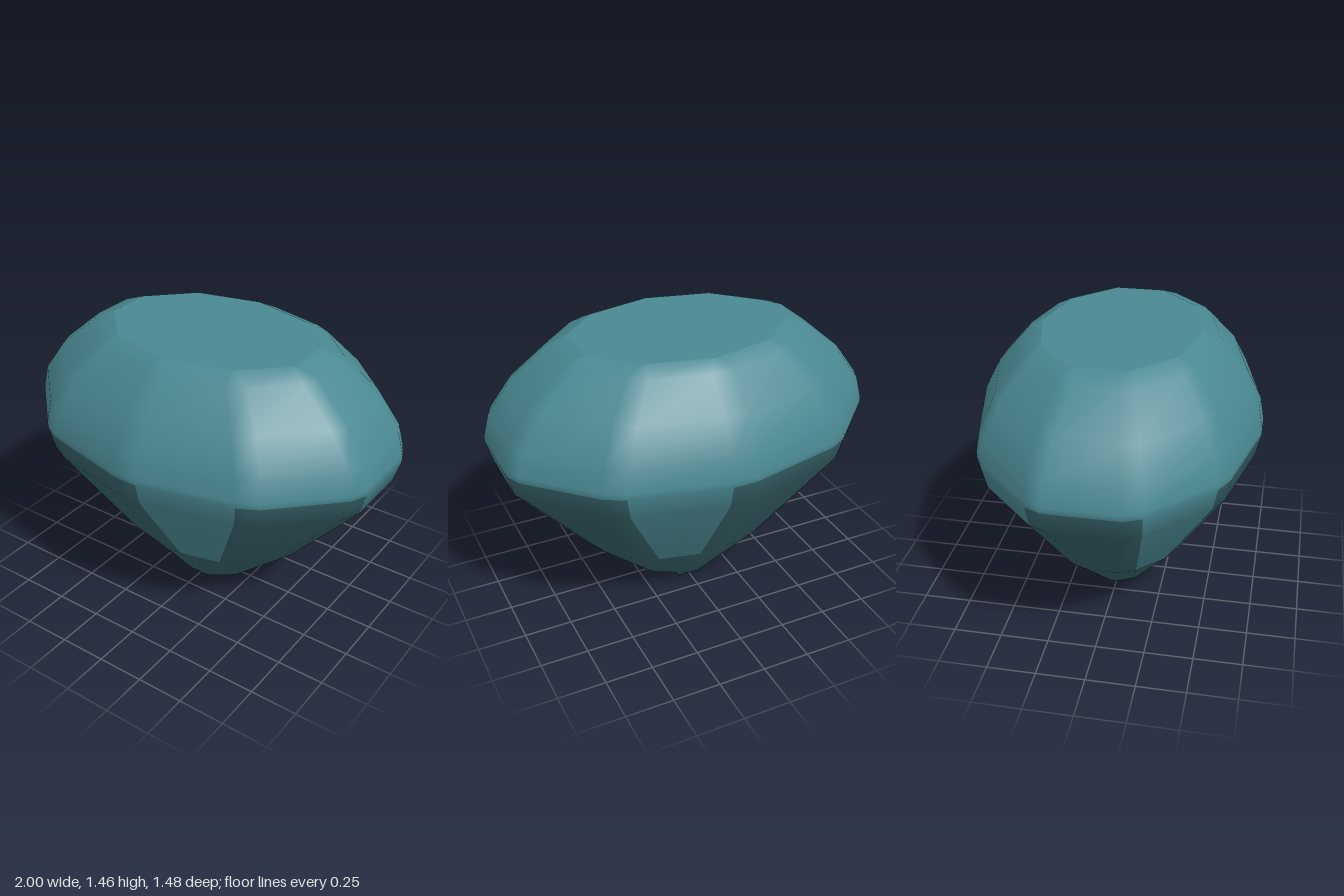
import * as THREE from 'three';

const SIDES = 10, N = SIDES * 2, DEPTH = 0.717;

// Decagon outline with clipped corners; a is the half width across x
function outline(y, a, bevel) {
  const r = a / Math.cos(Math.PI / SIDES);
  const t = bevel / a; // share of each side given to the corner bevel
  const corner = (k) => {
    const ang = ((k - 0.5) * 2 * Math.PI) / SIDES;
    return new THREE.Vector3(r * Math.cos(ang), y, r * Math.sin(ang) * DEPTH);
  };
  const pts = [];
  for (let k = 0; k < SIDES; k++) {
    const p = corner(k), q = corner(k + 1);
    pts.push(p.clone().lerp(q, t), q.clone().lerp(p, t));
  }
  return pts;
}

function toGeometry(points, index) {
  const g = new THREE.BufferGeometry().setFromPoints(points);
  g.setIndex(index);
  g.computeVertexNormals();
  return g;
}

export function createModel() {
  const teal = new THREE.MeshStandardMaterial({ color: 0x4a8891 });
  teal.name = 'teal';
  const darkTeal = new THREE.MeshStandardMaterial({ color: 0x355f66 });
  darkTeal.name = 'dark teal';

  // Rings from the table edge down to the tip: height, half width, bevel
  const rings = [
    [1.46, 0.55, 0.005], [1.42, 0.665, 0.09], [1.25, 0.86, 0.1], [1.09, 0.97, 0.1],
    [0.97, 1, 0.1], [0.94, 1, 0.1], [0.82, 0.965, 0.1], [0.33, 0.55, 0.1], [0.06, 0.26, 0.1],
  ].map((r) => outline(...r));

  // Short keel along z at the very bottom
  rings.push(rings[rings.length - 1].map((p) =>
    new THREE.Vector3(THREE.MathUtils.clamp(p.x, -0.06, 0.06), 0, p.z * 0.75)));

  const points = rings.flat();
  const light = [], dark = [];
  for (let r = 0; r < rings.length - 1; r++) {
    for (let i = 0; i < N; i++) {
      // Below the girdle every second facet is light, down to the lower break
      const lightFacet = r < 5 || (r < 7 && i % 4 === 0);
      const j = (i + 1) % N;
      const a = r * N + i, b = r * N + j, c = a + N, d = b + N;
      (lightFacet ? light : dark).push(a, b, d, a, d, c);
    }
  }
  // Close the tip
  const tip = points.length;
  points.push(new THREE.Vector3(0, 0, 0));
  for (let i = 0; i < N; i++) {
    const base = (rings.length - 1) * N;
    dark.push(tip, base + i, base + ((i + 1) % N));
  }

  // Crown and pavilion share smooth normals, coloured by group
  const bodyGeometry = toGeometry(points, [...light, ...dark]);
  bodyGeometry.addGroup(0, light.length, 0);
  bodyGeometry.addGroup(light.length, dark.length, 1);
  const body = new THREE.Mesh(bodyGeometry, [teal, darkTeal]);
  body.name = 'gemFacets';

  // Flat table on top with a crisp edge
  const tableIndex = [];
  for (let i = 0; i < N; i++) tableIndex.push(N, (i + 1) % N, i);
  const table = new THREE.Mesh(
    toGeometry([...rings[0], new THREE.Vector3(0, 1.46, 0)], tableIndex), teal);
  table.name = 'gemTable';

  const gem = new THREE.Group();
  gem.name = 'gemstone';
  gem.add(body, table);
  return gem;
}
